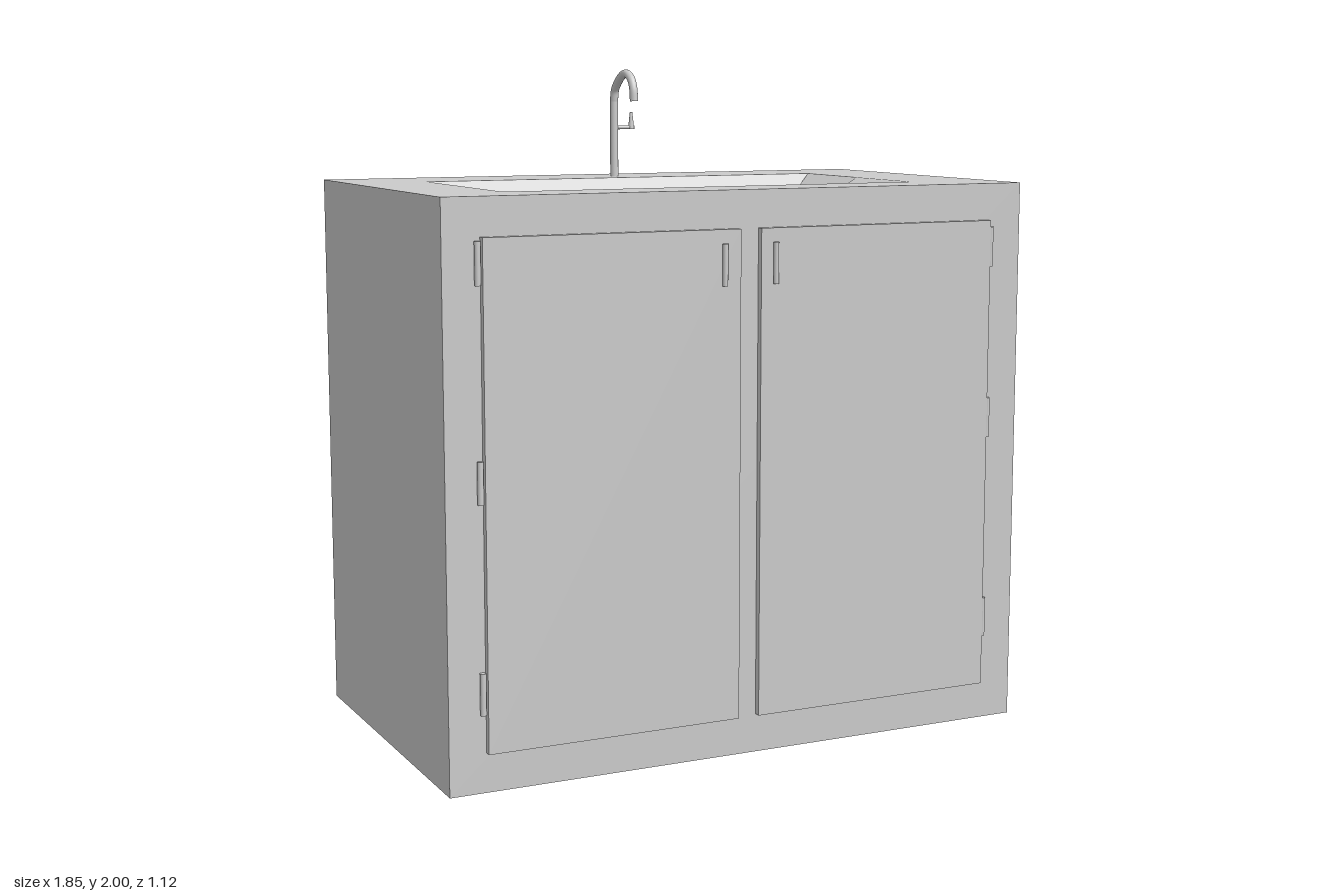
import * as THREE from 'three';

const V = (x, y, z) => new THREE.Vector3(x, y, z);
const TOP = 1.66, BACK = -0.56, FRONT = 0.525, HALF = 0.925;

export function createModel() {
  const group = new THREE.Group();
  const smooth = new THREE.MeshStandardMaterial({ color: 0xcccccc });
  const flat = new THREE.MeshStandardMaterial({ color: 0xcccccc, flatShading: true, side: THREE.DoubleSide });

  function add(name, geometry, x = 0, y = 0, z = 0, material = smooth) {
    const mesh = new THREE.Mesh(geometry, material);
    mesh.name = name;
    mesh.position.set(x, y, z);
    group.add(mesh);
    return mesh;
  }

  // Cabinet box, with the top face (third of six) left out for the basin
  const body = new THREE.BoxGeometry(2 * HALF, TOP, FRONT - BACK);
  const index = Array.from(body.index.array);
  index.splice(12, 6);
  body.setIndex(index);
  body.clearGroups();
  add('cabinet', body, 0, TOP / 2, (FRONT + BACK) / 2, flat);

  // Basin rim and floor outlines, as matching loops of [x, z] and [x, depth, z]
  const rim = [[-0.68, -0.295], [-0.68, 0.02], [-0.68, 0.347], [0.655, 0.34], [0.655, 0.015], [0.655, -0.303]];
  const floor = [[-0.45, 0.265, -0.17], [-0.285, 0.245, 0], [-0.13, 0.23, 0.193],
    [0.1, 0.23, 0.193], [0.28, 0.245, -0.01], [0.45, 0.265, -0.175]];

  // Countertop with the basin opening
  const counter = new THREE.Shape([
    new THREE.Vector2(-HALF, -FRONT), new THREE.Vector2(HALF, -FRONT),
    new THREE.Vector2(HALF, -BACK), new THREE.Vector2(-HALF, -BACK)]);
  counter.holes.push(new THREE.Path(rim.map(([x, z]) => new THREE.Vector2(x, -z))));
  add('countertop', new THREE.ShapeGeometry(counter).rotateX(-Math.PI / 2), 0, TOP, 0, flat);

  // Sloping basin walls and floor
  const n = rim.length;
  const points = [...rim.map(([x, z]) => V(x, TOP, z)), ...floor.map(([x, d, z]) => V(x, TOP - d, z))];
  const faces = [];
  for (let i = 0; i < n; i++) {
    const j = (i + 1) % n;
    faces.push(i, j, n + i, j, n + j, n + i);
  }
  for (const [a, b, c, d] of [[0, 1, 4, 5], [1, 2, 3, 4]]) {
    faces.push(n + a, n + b, n + c, n + a, n + c, n + d);
  }
  const basin = new THREE.BufferGeometry().setFromPoints(points);
  basin.setIndex(faces);
  basin.computeVertexNormals();
  add('basin', basin, 0, 0, 0, flat);

  // Doors with their bar handles and hinge barrels
  const doors = [
    { side: 'right', x: -0.425, handle: -0.089, hinge: -0.826, heights: [0.287, 0.88, 1.48] },
    { side: 'left', x: 0.42, handle: 0.074, hinge: 0.816, heights: [0.325, 0.95, 1.47] },
  ];
  for (const { side, x, handle, hinge, heights } of doors) {
    add(side + 'Door', new THREE.BoxGeometry(0.78, 1.435, 0.02), x, 0.8325, FRONT + 0.01);
    add(side + 'Handle', new THREE.CylinderGeometry(0.008, 0.008, 0.12, 16), handle, 1.45, 0.552);
    for (const y of heights) {
      add(side + 'Hinge', new THREE.CylinderGeometry(0.009, 0.009, 0.12, 16), hinge, y, 0.534);
    }
  }

  // Faucet: straight post, then a gooseneck spout
  const fx = -0.01, fz = -0.393;
  add('faucetPost', new THREE.CylinderGeometry(0.013, 0.013, 0.24, 20), fx, TOP + 0.12, fz);
  const neck = new THREE.CatmullRomCurve3([
    V(fx, 1.9, fz), V(fx, 1.935, -0.385), V(fx, 1.965, -0.355), V(fx, 1.984, -0.32),
    V(fx, 1.986, -0.29), V(fx, 1.97, -0.26), V(fx, 1.94, -0.244), V(fx, 1.9, -0.239)]);
  add('faucetSpout', new THREE.TubeGeometry(neck, 40, 0.013, 20));
  const outlet = add('faucetOutlet', new THREE.CircleGeometry(0.013, 20), fx, 1.9, -0.239);
  outlet.rotation.x = Math.PI / 2;

  // Side lever with a tapered upright grip
  const stem = add('leverStem', new THREE.CylinderGeometry(0.006, 0.006, 0.07, 12), 0.025, 1.816, fz);
  stem.rotation.z = Math.PI / 2;
  add('leverGrip', new THREE.CylinderGeometry(0.004, 0.01, 0.055, 12), 0.05, 1.838, fz);

  return group;
}
